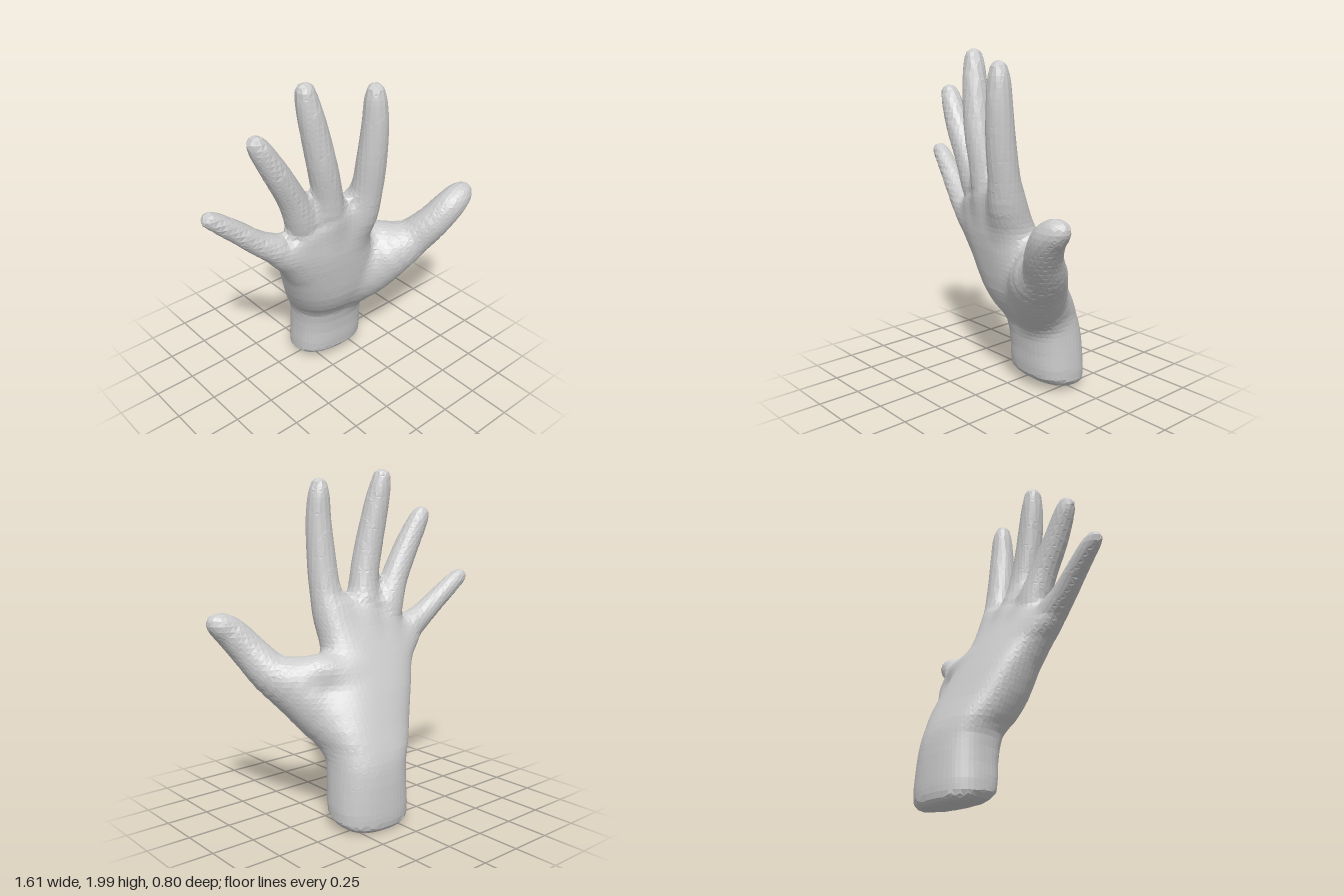
import * as THREE from 'three';

const material = new THREE.MeshStandardMaterial({ color: 0xcccccc, flatShading: true });
const vec = (a) => new THREE.Vector3(...a);
const spline = (points) => new THREE.CatmullRomCurve3(points.map(vec), false, 'catmullrom', 0.5);
const lerp = THREE.MathUtils.lerp;

// Digit: distance to a chain of tapered capsules through stations [x, y, z, radius].
function digit(stations) {
  const path = spline(stations.map((s) => s.slice(0, 3)));
  const radius = spline(stations.map((s) => [s[3], 0, 0]));
  const count = (stations.length - 1) * 3, segments = [];
  for (let i = 0; i < count; i++) {
    const [t0, t1] = [i / count, (i + 1) / count];
    const a = path.getPoint(t0), ab = path.getPoint(t1).sub(a);
    segments.push({ a, ab, len2: ab.lengthSq(), r0: radius.getPoint(t0).x, r1: radius.getPoint(t1).x });
  }
  const d = new THREE.Vector3();
  return (p) => {
    let best = Infinity;
    for (const { a, ab, len2, r0, r1 } of segments) {
      d.subVectors(p, a);
      const t = THREE.MathUtils.clamp(d.dot(ab) / len2, 0, 1);
      best = Math.min(best, d.addScaledVector(ab, -t).length() - lerp(r0, r1, t));
    }
    return best;
  };
}

// Palm: distance to a loft of rounded sections [centre, half-width vector, half-depth vector].
function loft(stations, power) {
  const curves = [0, 1, 2].map((k) => spline(stations.map((s) => s[k])));
  const count = (stations.length - 1) * 2, rings = [];
  for (let i = 0; i <= count; i++) {
    const [c, u, v] = curves.map((curve) => curve.getPoint(i / count));
    rings.push({ c, u, v, n: v.clone().cross(u).normalize() });
  }
  const [d, c, u, v] = [0, 0, 0, 0].map(() => new THREE.Vector3());
  const height = (p, ring) => d.subVectors(p, ring.c).dot(ring.n);
  return (p) => {
    let i = 0;
    while (i < count - 1 && height(p, rings[i + 1]) >= 0) i++;
    const [lo, hi] = [rings[i], rings[i + 1]];
    const [w0, w1] = [height(p, lo), height(p, hi)];
    const t = THREE.MathUtils.clamp(w0 / (w0 - w1), 0, 1);
    c.lerpVectors(lo.c, hi.c, t);
    u.lerpVectors(lo.u, hi.u, t);
    v.lerpVectors(lo.v, hi.v, t);
    v.addScaledVector(u, -v.dot(u) / u.lengthSq());
    d.subVectors(p, c);
    const a = Math.abs(d.dot(u)) / u.lengthSq(), b = Math.abs(d.dot(v)) / v.lengthSq();
    const m = Math.max((a ** power + b ** power) ** (1 / power), 1e-4);
    const side = Math.hypot(a * u.length(), b * v.length()) * (1 - 1 / m);
    return Math.max(side, -height(p, rings[0]), height(p, rings[count]));
  };
}

const parts = {
  palmAndWrist: loft([
    [[0.115, 0.022, -0.235], [0.175, 0, 0.01], [0, 0.02, 0.125]],
    [[0.115, 0.07, -0.222], [0.232, 0, 0.012], [0, 0.03, 0.178]],
    [[0.115, 0.22, -0.215], [0.23, 0, 0.012], [0, 0.03, 0.186]],
    [[0.105, 0.38, -0.195], [0.228, 0, 0.012], [0, 0.03, 0.195]],
    [[0.08, 0.48, -0.15], [0.253, 0, 0.015], [0, 0.03, 0.218]],
    [[0.06, 0.60, -0.1], [0.29, 0, 0.02], [0, 0.03, 0.22]],
    [[0.0, 0.78, -0.05], [0.3, 0, 0.03], [0, 0.02, 0.195]],
    [[-0.07, 0.95, -0.005], [0.285, 0.04, 0.045], [0, 0.01, 0.16]],
    [[-0.12, 1.08, 0.025], [0.3, 0.09, 0.06], [0, 0, 0.12]],
    [[-0.115, 1.17, 0.045], [0.27, 0.1, 0.055], [0, 0, 0.092]],
    [[-0.10, 1.22, 0.055], [0.2, 0.08, 0.05], [0, 0, 0.055]],
  ], 2.4),
  indexFinger: digit([
    [0.09, 1.02, 0.055, 0.095], [0.11, 1.14, 0.1, 0.106], [0.13, 1.32, 0.14, 0.09],
    [0.135, 1.5, 0.165, 0.084], [0.14, 1.7, 0.18, 0.074], [0.138, 1.83, 0.18, 0.064],
    [0.135, 1.895, 0.18, 0.05],
  ]),
  middleFinger: digit([
    [-0.07, 1.0, 0.01, 0.085], [-0.09, 1.18, 0.055, 0.1], [-0.115, 1.36, 0.08, 0.086],
    [-0.155, 1.55, 0.085, 0.082], [-0.2, 1.78, 0.07, 0.073], [-0.22, 1.89, 0.058, 0.063],
    [-0.229, 1.947, 0.053, 0.053],
  ]),
  ringFinger: digit([
    [-0.2, 1.0, -0.005, 0.085], [-0.25, 1.2, 0.02, 0.092], [-0.315, 1.36, 0.03, 0.08],
    [-0.41, 1.54, 0.03, 0.073], [-0.485, 1.68, 0.018, 0.062], [-0.515, 1.732, 0.013, 0.05],
  ]),
  littleFinger: digit([
    [-0.24, 0.88, -0.025, 0.085], [-0.37, 1.035, -0.01, 0.09], [-0.5, 1.13, -0.03, 0.07],
    [-0.63, 1.245, -0.06, 0.06], [-0.72, 1.32, -0.08, 0.053], [-0.762, 1.35, -0.087, 0.044],
  ]),
  thumb: digit([
    [0.18, 0.47, -0.12, 0.12], [0.25, 0.62, -0.015, 0.163], [0.355, 0.765, 0.085, 0.162],
    [0.485, 0.86, 0.17, 0.12], [0.57, 0.98, 0.255, 0.102], [0.65, 1.085, 0.305, 0.092],
    [0.71, 1.135, 0.318, 0.077], [0.743, 1.153, 0.32, 0.058],
  ]),
  // Fold of skin between thumb and index finger
  thumbWeb: digit([
    [0.08, 0.85, -0.04, 0.1], [0.18, 0.855, -0.04, 0.1], [0.29, 0.875, 0, 0.1], [0.41, 0.835, 0.09, 0.09],
  ]),
};
const names = Object.keys(parts);

// Skin field: all parts joined with small fillets; negative inside.
function field(p) {
  const fillet = 0.06;
  let f = Infinity;
  for (const name of names) {
    const d = parts[name](p);
    const h = Math.max(fillet - Math.abs(f - d), 0);
    f = Math.min(f, d) - (h * h) / (4 * fillet);
  }
  return f;
}

// Slide a point onto the skin along the field's slope.
function settle(p) {
  const e = 0.004, q = new THREE.Vector3(), g = new THREE.Vector3();
  for (let k = 0; k < 3; k++) {
    for (const axis of ['x', 'y', 'z']) {
      q.copy(p)[axis] += e;
      g[axis] = field(q);
      q[axis] -= 2 * e;
      g[axis] = (g[axis] - field(q)) / (2 * e);
    }
    p.addScaledVector(g, -field(p) / Math.max(g.lengthSq(), 0.2));
  }
  return p;
}

export function createModel() {
  const step = 0.03, size = [62, 72, 33], stride = [1, 62, 62 * 72];
  const origin = vec([-0.92, -0.07, -0.5]);
  const at = (x, y, z) => vec([x, y, z]).multiplyScalar(step).add(origin);
  const values = [], corners = new Map(), skin = names.map(() => []);
  for (let z = 0; z < size[2]; z++)
    for (let y = 0; y < size[1]; y++)
      for (let x = 0; x < size[0]; x++) values.push(field(at(x, y, z)));

  // One skin vertex for each lattice cell, made when first needed
  const corner = (cell) => {
    if (!corners.has(cell)) {
      const x = cell % size[0], y = Math.floor(cell / stride[1]) % size[1], z = Math.floor(cell / stride[2]);
      const mean = new THREE.Vector3();
      let hits = 0;
      for (let k = 0; k < 8; k++)
        for (let axis = 0; axis < 3; axis++) {
          if (k & (1 << axis)) continue;
          const o = [k & 1, (k >> 1) & 1, (k >> 2) & 1];
          const i = cell + o[0] + o[1] * stride[1] + o[2] * stride[2];
          const [f0, f1] = [values[i], values[i + stride[axis]]];
          if (f0 < 0 === f1 < 0) continue;
          o[axis] = f0 / (f0 - f1);
          mean.add(at(x + o[0], y + o[1], z + o[2]));
          hits++;
        }
      corners.set(cell, settle(mean.divideScalar(hits)));
    }
    return corners.get(cell);
  };

  // A quad wherever a lattice edge crosses the skin, given to the nearest part
  for (let i = stride[2]; i < values.length - stride[2]; i++)
    for (let axis = 0; axis < 3; axis++) {
      const inside = values[i] < 0;
      if (inside === values[i + stride[axis]] < 0) continue;
      const b = stride[(axis + 1) % 3], c = stride[(axis + 2) % 3];
      const quad = [i - b - c, i - c, i, i - b].map(corner);
      if (!inside) quad.reverse();
      const middle = quad[0].clone().add(quad[2]).multiplyScalar(0.5);
      const near = names.map((name) => parts[name](middle));
      const owner = skin[near.indexOf(Math.min(...near))];
      for (const k of [0, 1, 2, 0, 2, 3]) owner.push(...quad[k].toArray());
    }

  const hand = new THREE.Group();
  hand.name = 'hand';
  names.forEach((name, k) => {
    const geometry = new THREE.BufferGeometry();
    geometry.setAttribute('position', new THREE.Float32BufferAttribute(skin[k], 3));
    geometry.computeVertexNormals();
    const mesh = new THREE.Mesh(geometry, material);
    mesh.name = name;
    hand.add(mesh);
  });
  return hand;
}
